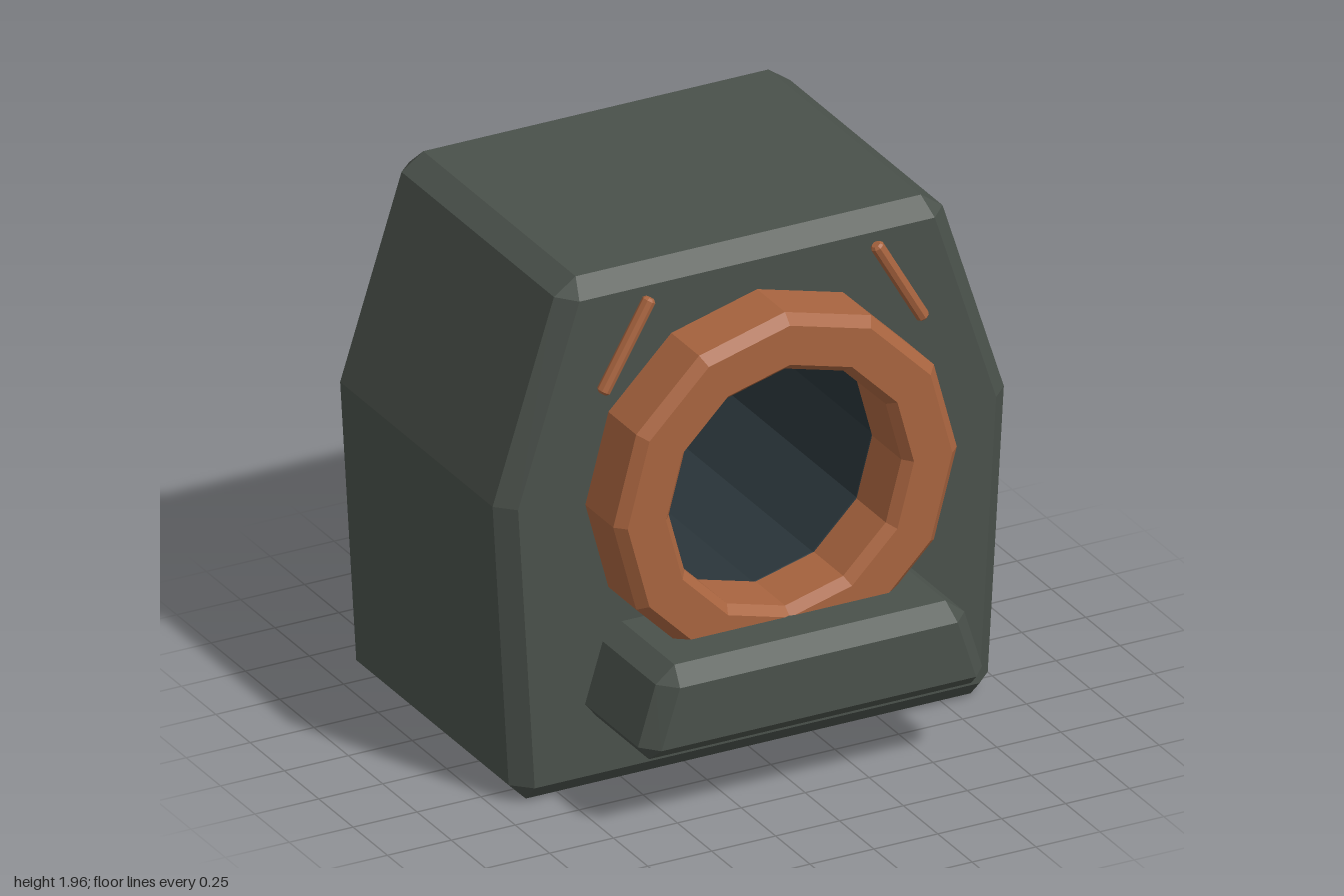
import * as THREE from 'three';

const CENTRE_Y = 1.11; // height of the round opening

const paint = (color, side = THREE.FrontSide) => {
  const m = new THREE.MeshStandardMaterial({ color, flatShading: true });
  m.side = side;
  return m;
};

// Complete a right-hand half outline (bottom to top) into a closed loop
const mirrorLoop = (half) => [...half, ...half.map(([x, y]) => [-x, y]).reverse()];

// Chamfered block: full outline between z1 and z2, shrinking to the inset outline at z0 and z3
function chamferedBlock(outerHalf, insetHalf, [z0, z1, z2, z3], holeRadius = 0) {
  const outer = mirrorLoop(outerHalf), inset = mirrorLoop(insetHalf);
  const rings = [[inset, z0], [outer, z1], [outer, z2], [inset, z3]]
    .map(([loop, z]) => loop.map(([x, y]) => new THREE.Vector3(x, y, z)));
  const pos = [];
  const tri = (a, b, c) => {
    if (a.equals(b) || b.equals(c) || c.equals(a)) return;
    for (const v of [a, b, c]) pos.push(v.x, v.y, v.z);
  };
  const n = outer.length;
  for (let r = 0; r < 3; r++) {
    for (let i = 0; i < n; i++) {
      const j = (i + 1) % n;
      const a = rings[r][i], b = rings[r][j], c = rings[r + 1][j], d = rings[r + 1][i];
      tri(a, b, c);
      tri(a, c, d);
    }
  }
  // End faces, with the round opening cut out
  const unique = inset.filter((p, i) => {
    const q = inset[(i + 1) % n];
    return p[0] !== q[0] || p[1] !== q[1];
  });
  const contour = unique.map(([x, y]) => new THREE.Vector2(x, y));
  const holes = [];
  if (holeRadius) {
    holes.push(Array.from({ length: 12 }, (_, i) => {
      const t = -i * Math.PI / 6;
      return new THREE.Vector2(holeRadius * Math.cos(t), CENTRE_Y + holeRadius * Math.sin(t));
    }));
  }
  const faces = THREE.ShapeUtils.triangulateShape(contour, holes);
  const flat = [...contour, ...holes.flat()];
  for (const f of faces) {
    const at = (z) => f.map((k) => new THREE.Vector3(flat[k].x, flat[k].y, z));
    const [a, b, c] = at(z3), [d, e, g] = at(z0);
    tri(a, b, c);
    tri(d, g, e);
  }
  const geo = new THREE.BufferGeometry();
  geo.setAttribute('position', new THREE.Float32BufferAttribute(pos, 3));
  geo.computeVertexNormals();
  return geo;
}

// Profile of [radius, z] turned about the z axis
const turned = (profile, sides) =>
  new THREE.LatheGeometry(profile.map(([r, z]) => new THREE.Vector2(r, z)), sides).rotateX(Math.PI / 2);

export function createModel() {
  const group = new THREE.Group();
  const stone = paint(0x4a514b);
  const copper = paint(0xa8643f);
  const add = (name, geo, mat) => {
    const mesh = new THREE.Mesh(geo, mat);
    mesh.name = name;
    group.add(mesh);
    return mesh;
  };

  // Tapered body with a round opening through it
  add('body', chamferedBlock(
    [[0.87, 0], [0.937, 0.067], [1, 1.15], [0.76, 1.9], [0.675, 1.96]],
    [[0.87, 0.067], [0.87, 0.067], [0.935, 1.15], [0.695, 1.895], [0.695, 1.895]],
    [-0.84, -0.775, 0.335, 0.4], 0.48), stone);

  // Dark lining of the opening
  const tunnel = add('tunnelLining', turned(
    [[0.48, 0.4], [0.465, 0.37], [0.465, -0.81], [0.48, -0.84]], 12),
  paint(0x2a353a, THREE.DoubleSide));
  tunnel.position.y = CENTRE_Y;

  // Sill bar running through the body, just proud of the back
  add('sill', chamferedBlock(
    [[0.63, 0.29], [0.673, 0.345], [0.604, 0.57], [0.53, 0.63]],
    [[0.615, 0.345], [0.615, 0.345], [0.543, 0.57], [0.543, 0.57]],
    [-0.85, -0.785, 0.785, 0.85]), stone);

  // Chamfered rim around the front of the opening
  const rim = add('frontRim', turned(
    [[0.485, 0.36], [0.64, 0.36], [0.672, 0.39], [0.672, 0.603], [0.635, 0.64],
      [0.485, 0.64], [0.455, 0.603], [0.455, 0.39], [0.485, 0.36]], 12), copper);
  rim.position.y = CENTRE_Y;

  // Slanted rods above the rim
  const rod = new THREE.LatheGeometry(
    [[0, -0.187], [0.016, -0.187], [0.025, -0.178], [0.025, 0.178], [0.016, 0.187], [0, 0.187]]
      .map(([r, y]) => new THREE.Vector2(r, y)), 8);
  for (const side of [1, -1]) {
    const mesh = add(side > 0 ? 'leftRod' : 'rightRod', rod, copper);
    mesh.position.set(side * 0.535, 1.708, 0.443);
    mesh.rotation.z = side * Math.PI / 6;
  }
  return group;
}
